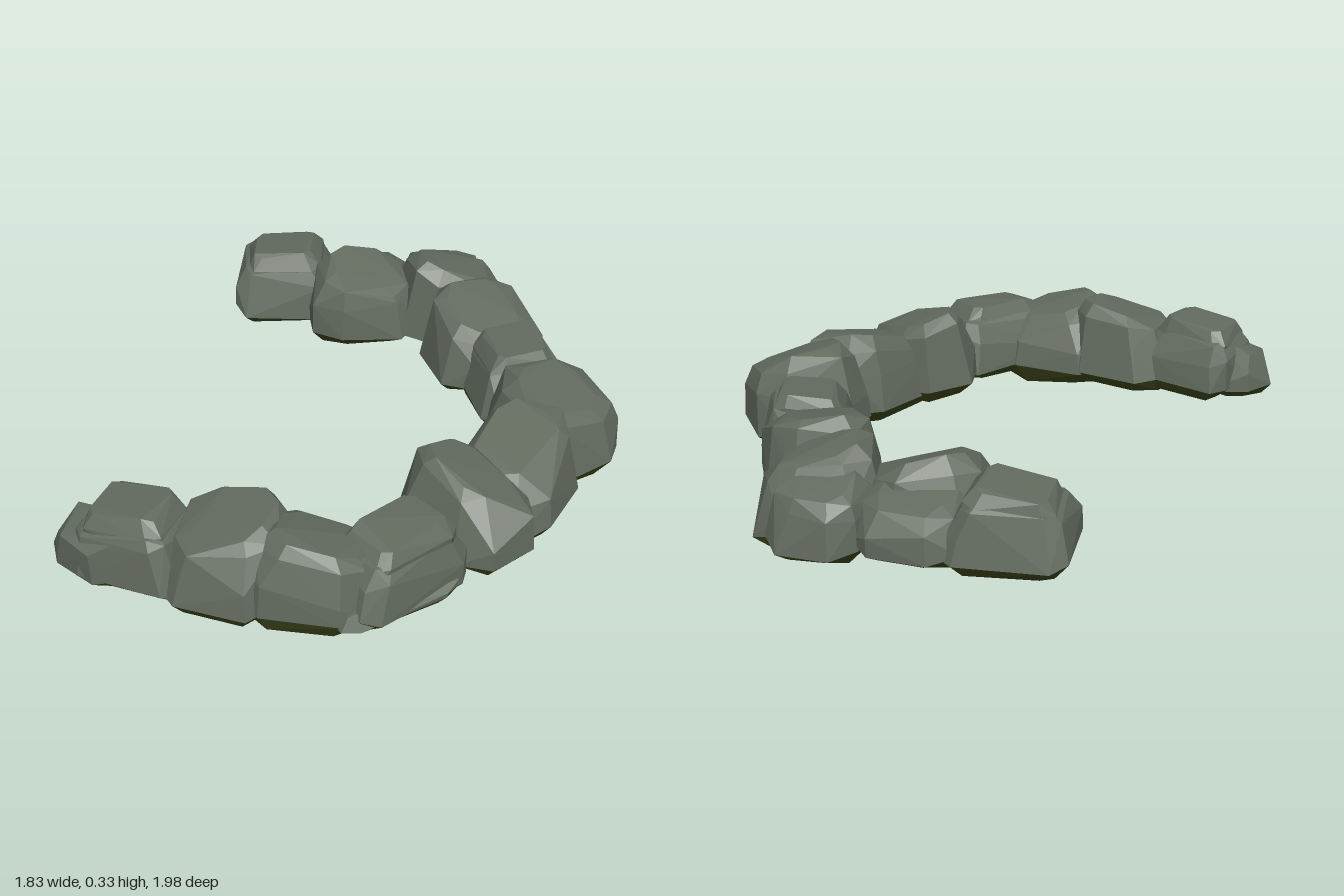
import * as THREE from 'three';
import { ConvexGeometry } from 'three/addons/geometries/ConvexGeometry.js';

const stone = new THREE.MeshStandardMaterial({ color: 0x626a5e });
stone.name = 'grey stone';
const moss = new THREE.MeshStandardMaterial({ color: 0x3f481c });
moss.name = 'dark moss';

// Small seeded generator, returns -1..1
function seeded(seed) {
  let s = seed * 7919 + 17;
  return () => {
    s = (s * 16807) % 2147483647;
    return (s / 2147483647) * 2 - 1;
  };
}

// Turns a point cloud into a faceted hull; faces that look down are mossy
function hullMesh(points, name) {
  const p = new ConvexGeometry(points).attributes.position;
  const tris = [[], []];
  const v = [0, 1, 2].map(() => new THREE.Vector3());
  const normal = new THREE.Vector3();
  for (let i = 0; i < p.count; i += 3) {
    v.forEach((c, k) => c.fromBufferAttribute(p, i + k));
    THREE.Triangle.getNormal(v[0], v[1], v[2], normal);
    const list = tris[normal.y < -0.12 ? 1 : 0];
    v.forEach((c) => list.push(c.x, c.y, c.z));
  }
  const geo = new THREE.BufferGeometry();
  geo.setAttribute('position', new THREE.Float32BufferAttribute([...tris[0], ...tris[1]], 3));
  geo.addGroup(0, tris[0].length / 3, 0);
  geo.addGroup(tris[0].length / 3, tris[1].length / 3, 1);
  geo.computeVertexNormals();
  const mesh = new THREE.Mesh(geo, [stone, moss]);
  mesh.name = name;
  return mesh;
}

// One boulder: an eight-cornered outline stacked into underside, rim, flank and top
function boulder([name, x, z, halfLength, halfWidth, degrees, base, top, fall, slab], index) {
  const rnd = seeded(index + 3);
  const turn = THREE.MathUtils.degToRad(degrees);
  const fallTurn = THREE.MathUtils.degToRad(fall);
  const cut = slab ? 0.75 : 0.55;
  const h = top - base;
  const lean = [rnd() * 0.02, rnd() * 0.02];

  // Two corners per quadrant, so the outline is a rectangle with cut corners
  const corners = [];
  for (const [sx, sz] of [[1, 1], [-1, 1], [-1, -1], [1, -1]]) {
    for (const [u, w] of [[1, cut], [cut, 1]]) {
      const a = sx * u * halfLength;
      const b = sz * w * halfWidth;
      const k = 0.98 + rnd() * 0.03;
      corners.push([
        k * (a * Math.cos(turn) - b * Math.sin(turn)),
        k * (a * Math.sin(turn) + b * Math.cos(turn)),
      ]);
    }
  }
  // A level ring of corners; the upper ones lean and slope down towards the fall side
  const ring = (scale, y, jitter, upper = false) => corners.map(([cx, cz]) => {
    const k = scale < 1 ? scale * (1 + rnd() * 0.09) : scale;
    const along = (cx * Math.cos(fallTurn) + cz * Math.sin(fallTurn)) / Math.hypot(cx, cz);
    const drop = upper ? h * (slab ? 0.05 : 0.12) * (1 + along) : 0;
    return new THREE.Vector3(
      x + cx * k + (upper ? lean[0] : 0),
      y + rnd() * jitter - drop,
      z + cz * k + (upper ? lean[1] : 0),
    );
  });

  const group = new THREE.Group();
  group.name = name;
  const shoulder = slab ? top - 0.04 : top;
  group.add(hullMesh([
    ...ring(0.78, base + 0.01, 0.01),
    ...ring(1, 0.065 + base * 0.5, 0.018),
    ...ring(0.92, base + h * 0.5, 0.03),
    ...ring(0.78, shoulder - h * 0.12, 0.02, true),
    ...ring(slab ? 0.68 : 0.56, shoulder - 0.005, 0.008, true),
  ], name + 'Body'));
  // Layered slab that breaks through the top
  if (slab) {
    group.add(hullMesh([
      ...ring(0.8, base + h * 0.45, 0.015),
      ...ring(0.7, top - 0.05, 0.012, true),
      ...ring(0.55, top - 0.005, 0.008, true),
    ], name + 'Slab'));
  }
  return group;
}

// Name, centre x and z, half length, half width, turn, base, top, direction the top falls, slab on top
const boulders = [
  ['backEndBoulder', 0.195, -0.79, 0.19, 0.165, 22, 0.04, 0.3, 210, true],
  ['backOuterBoulder', 0.455, -0.695, 0.17, 0.155, 30, 0.04, 0.27, 270, false],
  ['backInnerBoulder', 0.41, -0.57, 0.2, 0.16, 10, 0.02, 0.32, 60, false],
  ['backCornerOuterBoulder', 0.71, -0.59, 0.15, 0.15, 30, 0.02, 0.28, 300, false],
  ['backCornerInnerBoulder', 0.705, -0.485, 0.195, 0.16, 10, 0.01, 0.335, 0, false],
  ['leftRearBoulder', 0.685, -0.18, 0.185, 0.2, 0, 0.03, 0.325, 90, false],
  ['leftMiddleBoulder', 0.705, 0.06, 0.155, 0.165, 5, 0.03, 0.3, 180, true],
  ['leftFrontBoulder', 0.705, 0.345, 0.2, 0.19, -10, 0.005, 0.345, 45, false],
  ['frontLeftCornerBoulder', 0.485, 0.54, 0.23, 0.18, -45, 0.01, 0.325, 120, false],
  ['frontLeftBoulder', 0.275, 0.665, 0.21, 0.15, 70, 0.03, 0.335, 30, false],
  ['frontBoulder', -0.015, 0.805, 0.21, 0.14, -20, 0.03, 0.305, 90, true],
  ['frontLedge', -0.05, 0.87, 0.2, 0.09, -12, 0.04, 0.15, 90, true],
  ['frontRightBoulder', -0.245, 0.755, 0.22, 0.175, 30, 0.005, 0.32, 0, false],
  ['rightCornerBoulder', -0.455, 0.63, 0.2, 0.185, 35, 0.02, 0.335, 180, false],
  ['rightEndBoulder', -0.675, 0.48, 0.185, 0.15, 43, 0.03, 0.305, 200, true],
  ['rightEndSmallBoulder', -0.79, 0.42, 0.14, 0.105, 60, 0.03, 0.23, 180, false],
];

export function createModel() {
  const model = new THREE.Group();
  model.name = 'boulderArc';
  boulders.forEach((row, i) => model.add(boulder(row, i)));
  return model;
}
